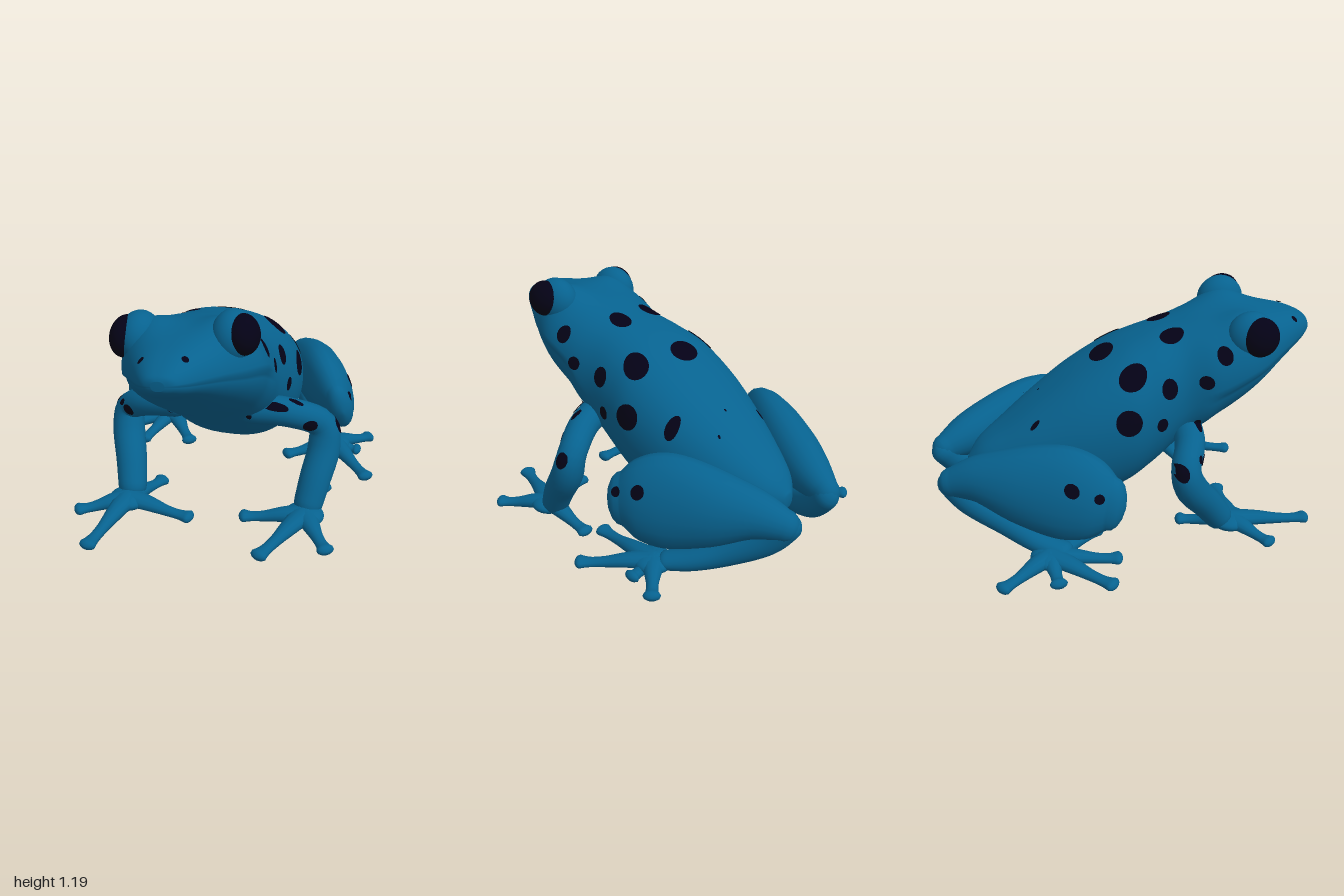
import * as THREE from 'three';

const V = (x, y, z) => new THREE.Vector3(x, y, z);

// Smooth interpolation of table rows, t in 0..1
function sample(rows, t) {
  const n = rows.length - 1, f = Math.min(t * n, n - 1e-6), i = Math.floor(f), u = f - i;
  const at = k => rows[Math.max(0, Math.min(n, k))];
  return rows[0].map((_, c) => {
    const [a, b, d, e] = [at(i - 1)[c], at(i)[c], at(i + 1)[c], at(i + 2)[c]];
    return b + 0.5 * u * (d - a + u * (2 * a - 5 * b + 4 * d - e + u * (3 * (b - d) + e - a)));
  });
}

// Closed skin over a list of rings, turned outwards
function loft(rings) {
  const n = rings[0].length, pts = rings.flat(), idx = [];
  for (let i = 0; i < rings.length - 1; i++)
    for (let j = 0; j < n; j++) {
      const a = i * n + j, b = i * n + (j + 1) % n;
      idx.push(a, b, a + n, b, b + n, a + n);
    }
  const last = (rings.length - 1) * n, centre = r => r.reduce((s, p) => s.add(p), V(0, 0, 0)).divideScalar(n);
  pts.push(centre(rings[0]), centre(rings[rings.length - 1]));
  for (let j = 0; j < n; j++) {
    const k = (j + 1) % n;
    idx.push(pts.length - 2, k, j, pts.length - 1, last + j, last + k);
  }
  let volume = 0;
  for (let i = 0; i < idx.length; i += 3)
    volume += pts[idx[i]].dot(V(0, 0, 0).crossVectors(pts[idx[i + 1]], pts[idx[i + 2]]));
  if (volume < 0) idx.reverse();
  const g = new THREE.BufferGeometry().setFromPoints(pts);
  g.setIndex(idx);
  g.computeVertexNormals();
  return g;
}

// Limb along rows of [x, y, z, side radius, upright radius] with rounded ends
function limb(rows, ref = V(0, 1, 0), steps = 24, sides = 20) {
  const rings = [];
  const ring = (t, out, k) => {
    const r = sample(rows, t), p = V(r[0], r[1], r[2]);
    const q = sample(rows, Math.min(1, t + 0.01)), o = sample(rows, Math.max(0, t - 0.01));
    const T = V(q[0] - o[0], q[1] - o[1], q[2] - o[2]).normalize();
    const S = V(0, 0, 0).crossVectors(T, ref).normalize(), U = V(0, 0, 0).crossVectors(S, T);
    p.addScaledVector(T, out * Math.min(r[3], r[4]));
    rings.push(Array.from({ length: sides }, (_, j) => {
      const a = j / sides * Math.PI * 2;
      return p.clone().addScaledVector(S, Math.cos(a) * r[3] * k).addScaledVector(U, Math.sin(a) * r[4] * k);
    }));
  };
  const dome = [0.12, 0.5, 0.9, 1.25];
  dome.forEach(a => ring(0, -Math.cos(a), Math.sin(a)));
  for (let i = 0; i <= steps; i++) ring(i / steps, 0, 1);
  dome.reverse().forEach(a => ring(1, Math.cos(a), Math.sin(a)));
  return loft(rings);
}

// Torso and head: z, centre x, half width, top, bottom, height of widest line
const BODY = [
  [1.0, -0.03, 0.03, 1.01, 0.965, 0.985], [0.985, -0.03, 0.075, 1.03, 0.945, 0.98],
  [0.94, -0.03, 0.12, 1.055, 0.91, 0.965], [0.87, -0.03, 0.17, 1.08, 0.87, 0.945],
  [0.78, -0.03, 0.23, 1.095, 0.81, 0.92], [0.67, -0.03, 0.3, 1.105, 0.73, 0.885],
  [0.55, -0.028, 0.345, 1.105, 0.64, 0.85], [0.4, -0.03, 0.347, 1.085, 0.535, 0.78],
  [0.25, -0.005, 0.325, 1.045, 0.42, 0.7], [0.1, 0, 0.35, 1.005, 0.3, 0.635],
  [-0.05, 0, 0.376, 0.95, 0.21, 0.58], [-0.25, 0.01, 0.352, 0.84, 0.14, 0.51],
  [-0.45, 0.02, 0.287, 0.7, 0.12, 0.44], [-0.62, 0.03, 0.212, 0.57, 0.15, 0.38],
  [-0.75, 0.04, 0.13, 0.47, 0.22, 0.35], [-0.82, 0.04, 0.03, 0.38, 0.31, 0.345],
];
function bodyGeometry() {
  const rings = [], sides = 72;
  // Raised skin that blends into an eye socket
  const brow = (x, z, ex) => 0.06 * Math.exp(-((x - ex) ** 2 + (z - 0.58) ** 2) / 0.016);
  for (let i = 0; i <= 96; i++) {
    const [z, cx, w, top, bottom, wide] = sample(BODY, i / 96);
    const roll = 0.12 * THREE.MathUtils.smoothstep(z, 0.1, 0.5);
    const lip = 0.055 * THREE.MathUtils.smoothstep(z, 0.33, 0.45);
    rings.push(Array.from({ length: sides }, (_, j) => {
      const a = (j + 0.5) / sides * Math.PI * 2, c = Math.cos(a), s = Math.sin(a);
      const x = Math.sign(c) * Math.abs(c) ** 0.78 * w * (s < 0 ? 1 - lip : 1);
      const h = (s > 0 ? s ** 0.95 * (top - wide) : s * (wide - bottom)) + wide - 0.9;
      const px = cx + x * Math.cos(roll) - h * Math.sin(roll);
      const rise = Math.max(0, s) * (brow(px, z, 0.17) + brow(px, z, -0.25));
      return V(px, 0.9 + x * Math.sin(roll) + h * Math.cos(roll) + rise, z);
    }));
  }
  return loft(rings);
}

export function createModel() {
  const group = new THREE.Group();
  const skin = new THREE.MeshStandardMaterial({ color: 0x07628f });
  const dark = new THREE.MeshStandardMaterial({ color: 0x040216 });
  skin.name = 'blue skin';
  dark.name = 'dark spots';
  dark.side = THREE.DoubleSide;
  const add = (name, geometry, material = skin) => {
    const m = new THREE.Mesh(geometry, material);
    m.name = name;
    group.add(m);
    return m;
  };
  const ball = (name, x, y, z, a, b, c, mat = skin, tilt = 0) => add(name,
    new THREE.SphereGeometry(1, 32, 20).scale(a, b, c).rotateZ(tilt).translate(x, y, z), mat);

  const targets = [add('body', bodyGeometry())];

  // Eyes in raised sockets
  ball('leftEyeSocket', 0.18, 1.075, 0.6, 0.1, 0.125, 0.125);
  ball('rightEyeSocket', -0.258, 1.025, 0.6, 0.1, 0.125, 0.125);
  ball('leftEye', 0.234, 1.1, 0.627, 0.074, 0.093, 0.098, dark, 0.2);
  ball('rightEye', -0.316, 1.035, 0.627, 0.072, 0.1, 0.098, dark, -0.12);

  // Arms
  const armRef = V(0, 0.5, 0.87);
  targets.push(add('leftArm', limb([
    [0.2, 0.56, 0.28, 0.08, 0.08], [0.38, 0.535, 0.235, 0.075, 0.078], [0.53, 0.46, 0.17, 0.075, 0.075],
    [0.555, 0.34, 0.19, 0.083, 0.083], [0.53, 0.2, 0.28, 0.08, 0.08], [0.51, 0.09, 0.34, 0.074, 0.074]], armRef)));
  targets.push(add('rightArm', limb([
    [-0.2, 0.55, 0.29, 0.08, 0.08], [-0.36, 0.515, 0.26, 0.075, 0.078], [-0.48, 0.44, 0.2, 0.075, 0.075],
    [-0.485, 0.33, 0.23, 0.084, 0.084], [-0.44, 0.2, 0.33, 0.08, 0.08], [-0.41, 0.09, 0.41, 0.074, 0.074]], armRef)));

  // Folded hind legs: thigh leaning inwards, then the lower leg running forward to the foot
  for (const [side, s, shift] of [['left', 1, 0], ['right', -1, 0.1]]) {
    const X = (x, k) => s * (x - k * shift);
    targets.push(add(side + 'Thigh', limb([
      [X(0.235, 1), 0.35, -0.92, 0.072, 0.078], [X(0.295, 0.95), 0.385, -0.78, 0.115, 0.128],
      [X(0.385, 0.65), 0.39, -0.6, 0.138, 0.198], [X(0.47, 0.3), 0.39, -0.42, 0.132, 0.235],
      [X(0.535, 0.1), 0.38, -0.29, 0.11, 0.205], [X(0.575, 0), 0.37, -0.21, 0.072, 0.135]], V(-0.36 * s, 1, 0).normalize())));
    add(side + 'LowerLeg', limb([
      [X(0.22, 1), 0.34, -0.93, 0.065, 0.07], [X(0.26, 1), 0.24, -0.84, 0.07, 0.075],
      [X(0.35, 0.9), 0.145, -0.68, 0.066, 0.066], [X(0.44, 0.5), 0.09, -0.54, 0.064, 0.056],
      [X(0.5, 0.3), 0.065, -0.43, 0.062, 0.045]]));
  }

  // Feet: palm and tapering toes ending in round pads
  const foot = (name, px, pz, tips) => {
    ball(name + 'Palm', px, 0.053, pz, 0.1, 0.045, 0.1);
    tips.forEach(([x, z]) => {
      const at = (k, y, a, b) => [px + (x - px) * k, y, pz + (z - pz) * k, a, b];
      add(name + 'Toe', limb([at(0, 0.062, 0.066, 0.04), at(0.33, 0.05, 0.046, 0.036),
        at(0.6, 0.036, 0.031, 0.027), at(0.8, 0.031, 0.031, 0.023), at(0.93, 0.032, 0.044, 0.027)], undefined, 14, 12));
    });
  };
  foot('leftHand', 0.5, 0.4, [[0.555, 0.06], [0.18, 0.46], [0.335, 0.78], [0.655, 0.65]]);
  foot('rightHand', -0.41, 0.48, [[-0.3, 0.22], [-0.045, 0.54], [-0.475, 0.91], [-0.645, 0.62]]);
  foot('leftFoot', 0.53, -0.37, [[0.735, -0.535], [0.68, -0.355], [0.77, -0.06], [0.48, 0.045], [0.28, -0.2]]);
  foot('rightFoot', -0.48, -0.5, [[-0.65, -0.78], [-0.69, -0.5], [-0.77, -0.235], [-0.56, -0.15], [-0.28, -0.2]]);

  // Spots: thin discs laid onto the skin along an axis
  const ray = new THREE.Raycaster();
  const spot = (place, dir, ra, rb) => {
    const g = new THREE.RingGeometry(0.001, 1, 24, 4), p = g.attributes.position;
    const cast = (u, v) => {
      ray.set(place(u, v).addScaledVector(dir, -3), dir);
      return ray.intersectObjects(targets)[0];
    };
    const mid = cast(0, 0);
    if (!mid) return;
    for (let i = 0; i < p.count; i++) {
      let h = cast(p.getX(i) * ra, p.getY(i) * rb);
      if (!h || h.point.distanceTo(mid.point) > 0.12) h = mid;
      const q = h.point.clone().addScaledVector(h.face.normal, 0.005);
      p.setXYZ(i, q.x, q.y, q.z);
    }
    g.computeVertexNormals();
    add('spot', g, dark);
  };
  // Flank and leg spots: z, y, radii
  const bothSides = [[0.44, 0.96, 0.038, 0.042], [0.345, 0.835, 0.036, 0.034], [0.16, 0.81, 0.042, 0.05],
    [0.115, 0.635, 0.03, 0.036], [-0.06, 0.675, 0.065, 0.065], [0.315, 0.6, 0.02, 0.025],
    [0.265, 0.495, 0.012, 0.018], [0.16, 0.455, 0.032, 0.04]];
  const leftOnly = [[-0.3, 0.67, 0.03, 0.055], [0.25, 0.6, 0.014, 0.014],
    [-0.22, 0.435, 0.025, 0.023], [-0.34, 0.47, 0.034, 0.033]];
  const rightOnly = [[-0.28, 0.435, 0.025, 0.023], [-0.4, 0.47, 0.034, 0.033]];
  for (const [s, list] of [[1, bothSides.concat(leftOnly)], [-1, bothSides.concat(rightOnly)]])
    for (const [z, y, a, b] of list) spot((u, v) => V(0, y + v, z + u), V(-s, 0, 0), a, b);
  // Back spots and nostrils: x, z, radii
  for (const [x, z, a, b] of [[-0.015, -0.11, 0.08, 0.06], [-0.265, -0.015, 0.05, 0.07], [0.24, -0.015, 0.055, 0.068],
    [-0.135, 0.225, 0.052, 0.062], [0.09, 0.225, 0.05, 0.062], [-0.16, -0.49, 0.012, 0.024], [0.18, -0.49, 0.006, 0.008],
    [0.055, -0.43, 0.006, 0.006], [-0.148, 0.885, 0.013, 0.015], [0.046, 0.885, 0.015, 0.015]])
    spot((u, v) => V(x + u, 0, z + v), V(0, -1, 0), a, b);
  // Chest and arm spots: x, y, radii
  for (const [x, y, a, b] of [[-0.2, 0.54, 0.014, 0.014], [0.2, 0.555, 0.014, 0.018],
    [0.49, 0.49, 0.035, 0.03], [-0.455, 0.47, 0.032, 0.03]])
    spot((u, v) => V(x + u, y + v, 0), V(0, 0, -1), a, b);

  return group;
}
